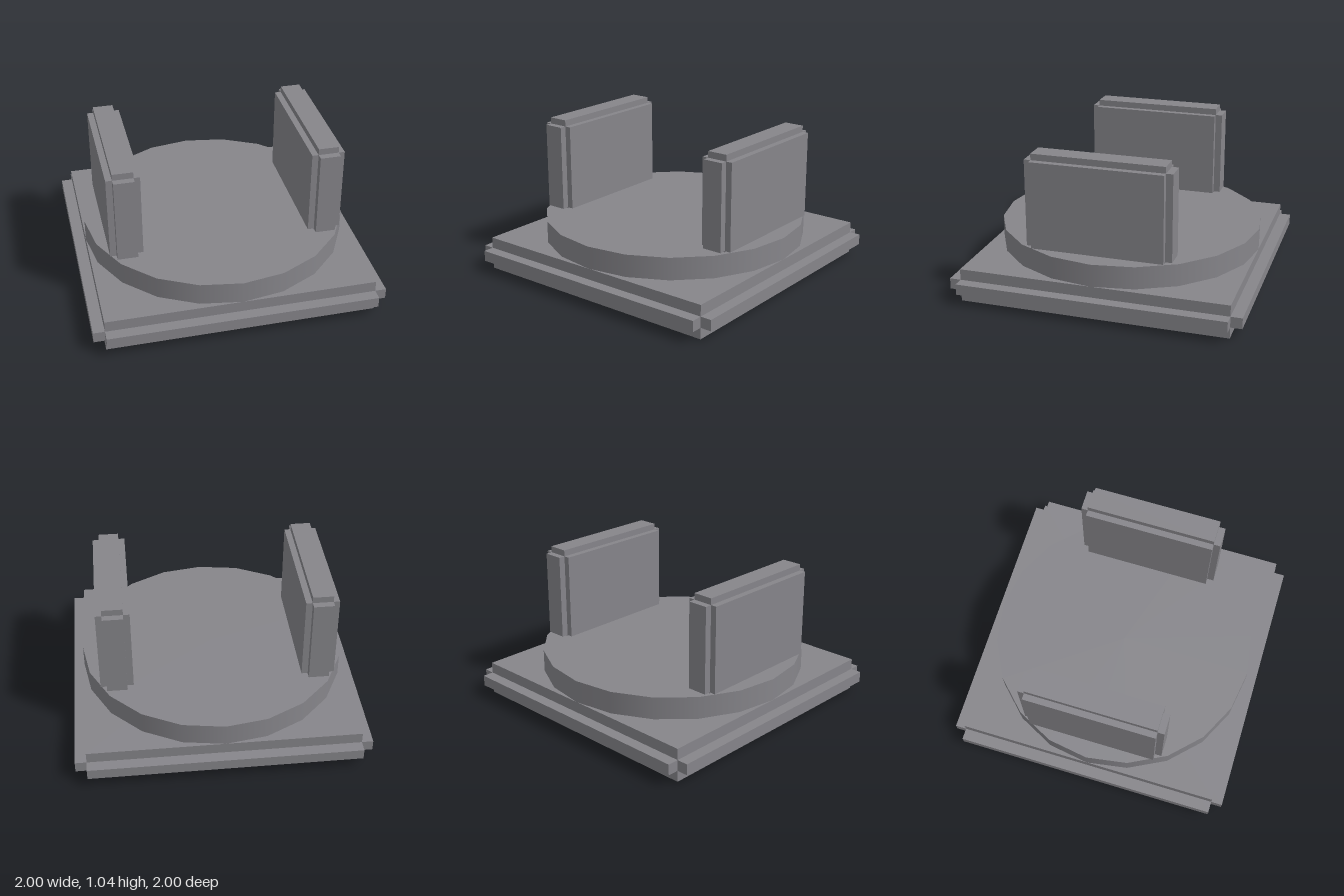
import * as THREE from 'three';

const material = new THREE.MeshStandardMaterial({ color: 0x86858a });

// Box spanning y0..y1, centred on x = 0 and z = 0 of its parent
function addBox(parent, name, width, y0, y1, depth) {
  const mesh = new THREE.Mesh(new THREE.BoxGeometry(width, y1 - y0, depth), material);
  mesh.name = name;
  mesh.position.y = (y0 + y1) / 2;
  parent.add(mesh);
}

export function createModel() {
  const model = new THREE.Group();
  model.name = 'pedestal';

  // Square base with a raised band on each side, leaving the corners notched
  const base = new THREE.Group();
  base.name = 'base';
  addBox(base, 'baseSlab', 1.844, 0, 0.23, 1.844);
  addBox(base, 'sideBand', 2, 0.078, 0.153, 1.844);
  addBox(base, 'frontBackBand', 1.844, 0.078, 0.153, 2);
  model.add(base);

  // Round platform with a smooth 20-sided rim
  const disc = new THREE.Mesh(new THREE.CylinderGeometry(0.922, 0.922, 0.155, 20), material);
  disc.name = 'roundPlatform';
  disc.position.y = 0.3075;
  model.add(disc);

  // Two upright walls, each a core with its faces pushed outward
  for (const side of [-1, 1]) {
    const wall = new THREE.Group();
    wall.name = side > 0 ? 'leftWall' : 'rightWall';
    wall.position.x = side * 0.692;
    addBox(wall, 'wallEnds', 0.14, 0.393, 0.993, 1);
    addBox(wall, 'wallFaces', 0.226, 0.393, 0.993, 0.906);
    addBox(wall, 'wallCap', 0.14, 0.35, 1.037, 0.906);
    model.add(wall);
  }
  return model;
}
